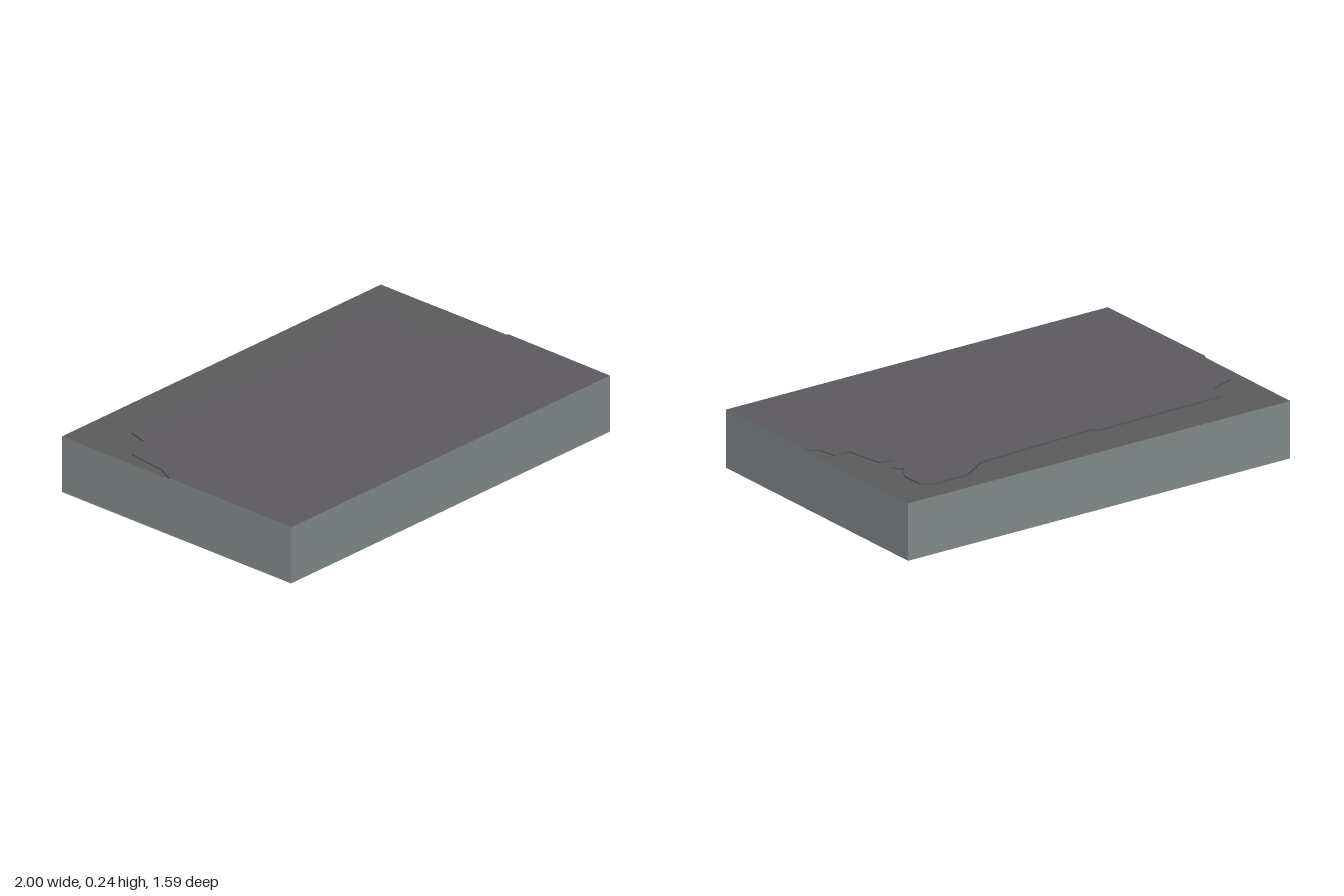
import * as THREE from 'three';

const BACK_Y = 0.229; // height of the lower back strip

// corners of the block in plan, as [x, z]
const A = [-1, -0.306], B = [0.673, -0.797], C = [1, 0.303], D = [-0.673, 0.794];

// jagged step across the top, from the left-hand wall to the right-hand wall
const step = [
  [-0.847, 0.21], [-0.835, 0.134], [-0.861, -0.04], [-0.767, -0.107], [-0.77, -0.19],
  [-0.23, -0.355], [-0.21, -0.34], [0.29, -0.515], [0.37, -0.61], [0.53, -0.66],
  [0.57, -0.64], [0.6, -0.55], [0.58, -0.48], [0.615, -0.45], [0.58, -0.38], [0.64, -0.39],
  [0.71, -0.25], [0.775, -0.264], [0.81, -0.19], [0.855, -0.185],
];

const backY = () => BACK_Y;
// the main plate tilts gently up from front to back
const plateY = (x, z) => {
  const a = ((x - C[0]) * (B[0] - C[0]) + (z - C[1]) * (B[1] - C[1])) / 1.317;
  return 0.231 + 0.007 * a;
};

// flat outline whose points are lifted to a height rule
function sheet(points, height) {
  const shape = new THREE.Shape(points.map(([x, z]) => new THREE.Vector2(x, -z)));
  const g = new THREE.ShapeGeometry(shape).rotateX(-Math.PI / 2);
  const p = g.attributes.position;
  for (let i = 0; i < p.count; i++) p.setY(i, height(p.getX(i), p.getZ(i)));
  g.computeVertexNormals();
  return g;
}

// upright band along a path, with flat facets
function band(points, low, high) {
  const v = [];
  for (let i = 0; i + 1 < points.length; i++) {
    const [x0, z0] = points[i], [x1, z1] = points[i + 1];
    const a = [x0, low(x0, z0), z0], b = [x1, low(x1, z1), z1];
    const c = [x1, high(x1, z1), z1], d = [x0, high(x0, z0), z0];
    v.push(...a, ...b, ...c, ...a, ...c, ...d);
  }
  const g = new THREE.BufferGeometry();
  g.setAttribute('position', new THREE.Float32BufferAttribute(v, 3));
  g.computeVertexNormals();
  return g;
}

function material(name, color) {
  const m = new THREE.MeshStandardMaterial({ color, side: THREE.DoubleSide });
  m.name = name;
  return m;
}

export function createModel() {
  const group = new THREE.Group();
  group.name = 'steppedSlab';
  const wall = material('blue grey', 0x848a8c);
  const plate = material('purple grey', 0x5d5b5f);
  const strip = material('dark grey', 0x5c5c5c);

  const add = (name, geometry, mat) => {
    const mesh = new THREE.Mesh(geometry, mat);
    mesh.name = name;
    group.add(mesh);
  };

  const start = step[0], end = step[step.length - 1];
  const ground = () => 0;

  // top surfaces, hollow underneath
  add('mainPlate', sheet([...step, C, D], plateY), plate);
  add('backStrip', sheet([...step, B, A], backY), strip);
  add('stepRiser', band(step, backY, plateY), plate);

  // outer walls, in two runs that meet at the step; counter-clockwise from above
  add('frontWalls', band([start, D, C, end], ground, plateY), wall);
  add('backWalls', band([end, B, A, start], ground, backY), wall);
  return group;
}
